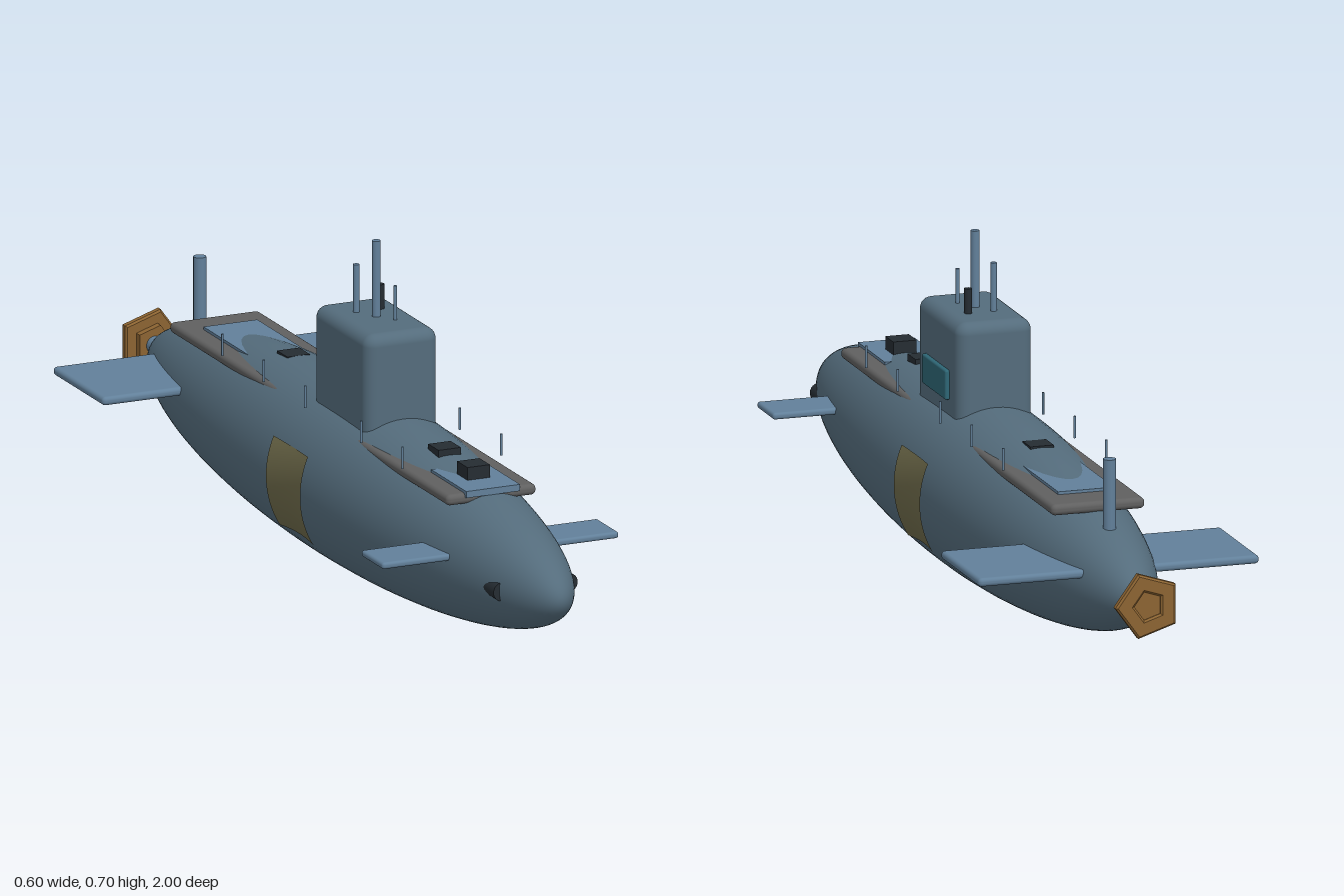
import * as THREE from 'three';
import { RoundedBoxGeometry } from 'three/addons/geometries/RoundedBoxGeometry.js';

const mat = (color, extra = {}) => new THREE.MeshStandardMaterial({ color, ...extra });
const HULL = { y: 0.185, z: 0.03, rx: 0.165, ry: 0.182, rz: 0.97 };

export function createModel() {
  const model = new THREE.Group();
  const hullMat = mat(0x546c7c), finMat = mat(0x62809a), deckMat = mat(0x606060);
  const darkMat = mat(0x252c32), bronzeMat = mat(0x8c6432), glassMat = mat(0x2e6675);
  const panelMat = mat(0x6e6a4a, { side: THREE.DoubleSide });

  const add = (name, geometry, material, x = 0, y = 0, z = 0) => {
    const mesh = new THREE.Mesh(geometry, material);
    mesh.name = name;
    mesh.position.set(x, y, z);
    model.add(mesh);
    return mesh;
  };
  // Upright rod between two heights
  const rod = (name, material, r, x, z, y0, y1, sides = 16) =>
    add(name, new THREE.CylinderGeometry(r, r, y1 - y0, sides), material, x, (y0 + y1) / 2, z);
  // Box given by its half width, height range and length range
  const block = (name, material, hw, y0, y1, z0, z1, r = 0) => {
    const size = [hw * 2, y1 - y0, z1 - z0];
    const geometry = r ? new RoundedBoxGeometry(...size, 4, r) : new THREE.BoxGeometry(...size);
    return add(name, geometry, material, 0, (y0 + y1) / 2, (z0 + z1) / 2);
  };

  // Hull, poles at bow and stern
  const hull = new THREE.SphereGeometry(1, 64, 64).rotateX(Math.PI / 2);
  hull.scale(HULL.rx, HULL.ry, HULL.rz);
  add('hull', hull, hullMat, 0, HULL.y, HULL.z);

  // Deck, its plates and hatches
  block('deck', deckMat, 0.1, 0.307, 0.33, -0.68, 0.665, 0.01);
  block('frontDeckPlate', finMat, 0.06, 0.322, 0.336, 0.5, 0.67);
  block('rearDeckPlate', finMat, 0.06, 0.322, 0.336, -0.6, -0.37);
  block('bowHatch', darkMat, 0.025, 0.325, 0.363, 0.55, 0.6);
  block('foreHatch', darkMat, 0.025, 0.325, 0.361, 0.41, 0.46);
  block('aftHatch', darkMat, 0.025, 0.325, 0.358, -0.32, -0.27);

  // Conning tower with masts and a window on its left
  block('conningTower', hullMat, 0.081, 0.28, 0.545, -0.028, 0.236, 0.025);
  rod('periscope', finMat, 0.009, 0, 0.105, 0.53, 0.705);
  rod('radioMast', finMat, 0.0065, -0.025, 0.062, 0.53, 0.646);
  rod('antenna', finMat, 0.004, 0.024, 0.145, 0.53, 0.617);
  rod('snorkel', darkMat, 0.008, 0.03, 0.06, 0.53, 0.597);
  add('towerWindow', new RoundedBoxGeometry(0.015, 0.062, 0.15, 3, 0.004), glassMat, 0.0825, 0.406, 0.103);

  // Curved, slightly dished side panel that follows the hull
  const sidePanel = (side) => {
    const g = new THREE.PlaneGeometry(2, 2, 16, 20);
    const p = g.attributes.position;
    for (let i = 0; i < p.count; i++) {
      const u = p.getX(i), a = p.getY(i) * 0.53 - 0.08;
      const lift = 0.001 + 0.006 * u * u;
      p.setXYZ(i, side * (HULL.rx + lift) * Math.cos(a), HULL.y + (HULL.ry + lift) * Math.sin(a),
        0.0275 - side * u * 0.083);
    }
    g.computeVertexNormals();
    return g;
  };

  for (const side of [1, -1]) {
    const label = side > 0 ? 'left' : 'right';
    add(label + 'SidePanel', sidePanel(side), panelMat);

    // Diving planes
    add(label + 'BowPlane', new RoundedBoxGeometry(0.21, 0.014, 0.105, 3, 0.006), finMat,
      side * 0.159, 0.213, 0.655);
    add(label + 'SternPlane', new RoundedBoxGeometry(0.26, 0.018, 0.245, 3, 0.008), finMat,
      side * 0.17, 0.216, -0.6875);

    // Torpedo tube breaking through the bow
    const tube = new THREE.CylinderGeometry(0.02, 0.02, 0.08, 24).rotateX(Math.PI / 2);
    add(label + 'TorpedoTube', tube, darkMat, side * 0.074, 0.182, 0.835);

    // Railing posts
    for (const z of [0.47, 0.27, 0, -0.2, -0.4])
      rod(label + 'RailPost', finMat, 0.0026, side * 0.11, z, 0.336, 0.382, 8);
  }

  // Rudder post
  rod('rudderPost', finMat, 0.0135, 0, -0.748, 0.24, 0.437, 12);

  // Shaft and five-sided propeller
  add('propellerShaft', new THREE.CylinderGeometry(0.019, 0.019, 0.08, 20).rotateX(Math.PI / 2),
    finMat, 0, 0.19, -0.935);
  const pentagon = (r) => Array.from({ length: 5 }, (_, i) =>
    new THREE.Vector2(r * Math.cos(i * Math.PI * 0.4), r * Math.sin(i * Math.PI * 0.4)));
  const rim = new THREE.Shape(pentagon(0.066));
  rim.holes.push(new THREE.Path(pentagon(0.036)));
  add('propellerRim', new THREE.ExtrudeGeometry(rim, {
    depth: 0.012, bevelThickness: 0.004, bevelSize: 0.004, bevelSegments: 1,
  }), bronzeMat, 0, 0.19, -0.996);
  add('propellerHub', new THREE.ExtrudeGeometry(new THREE.Shape(pentagon(0.042)), {
    depth: 0.03, bevelEnabled: false,
  }), bronzeMat, 0, 0.19, -0.994);

  return model;
}
